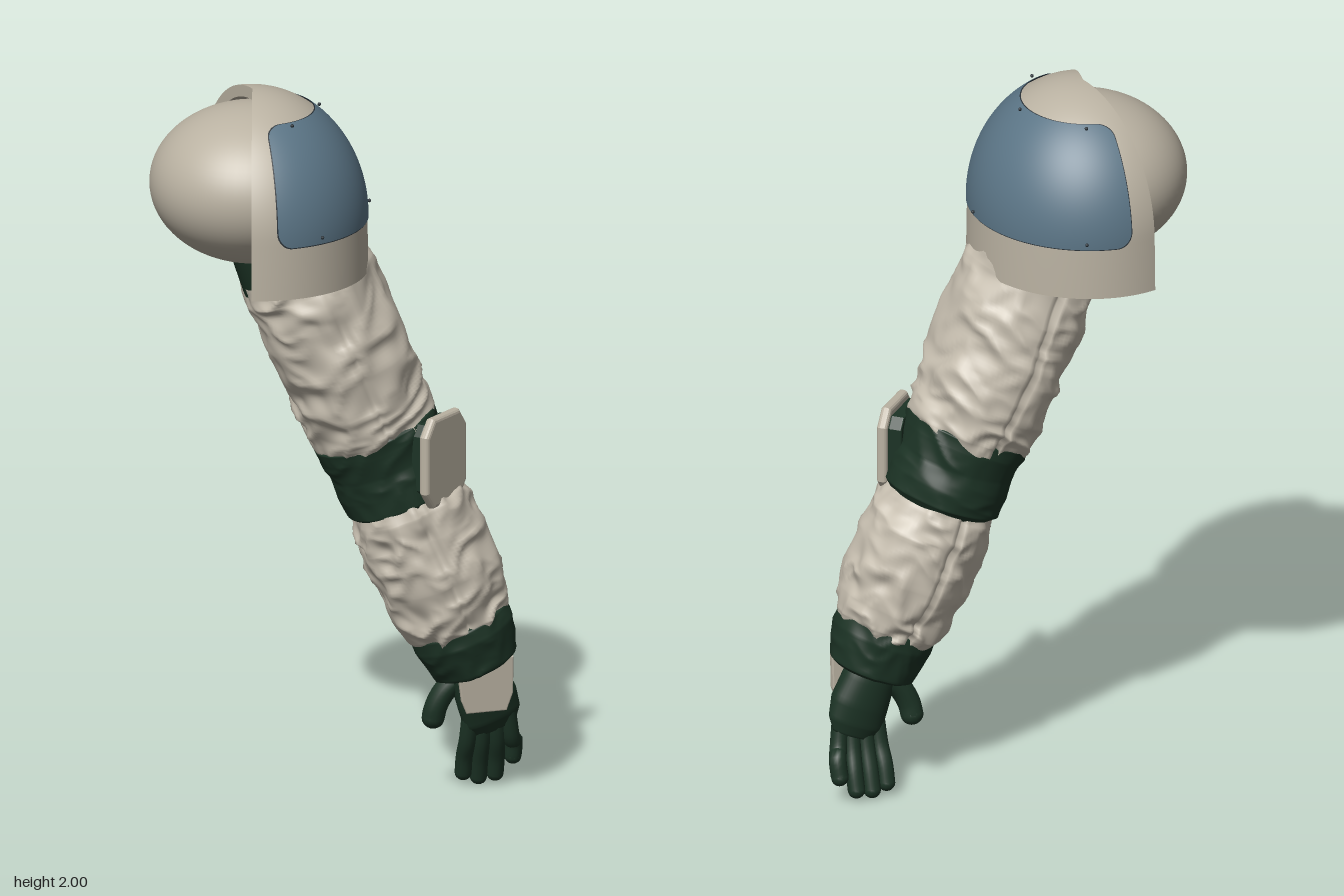
import * as THREE from 'three';

const mat = (name, color, side = THREE.FrontSide) => {
  const m = new THREE.MeshStandardMaterial({ color, side });
  m.name = name;
  return m;
};

// Smooth seeded value noise, used for cloth folds
const hash = (x, y, z) => {
  const s = Math.sin(x * 127.1 + y * 311.7 + z * 74.7) * 43758.5453;
  return s - Math.floor(s);
};
function noise(x, y, z) {
  const X = Math.floor(x), Y = Math.floor(y), Z = Math.floor(z);
  const f = [x - X, y - Y, z - Z].map(v => v * v * (3 - 2 * v));
  let sum = 0;
  for (let c = 0; c < 8; c++) {
    const b = [c & 1, (c >> 1) & 1, c >> 2];
    const w = b.reduce((p, on, k) => p * (on ? f[k] : 1 - f[k]), 1);
    sum += w * hash(X + b[0], Y + b[1], Z + b[2]);
  }
  return sum;
}
const ridge = (x, y, z) => 1 - 2 * Math.abs(2 * noise(x, y, z) - 1);

// Loft of elliptical rings down the arm; each row is [t, centreX, centreZ, radiusX, radiusZ]
function loft(rows, { cols = 96, steps = 12, fold = 0, seam = 0 } = {}) {
  const pos = [], idx = [], n = (rows.length - 1) * steps;
  for (let i = 0; i <= n; i++) {
    const k = Math.min(Math.floor(i / steps), rows.length - 2), u = i / steps - k;
    const [t, cx, cz, rx, rz] = rows[k].map((v, q) => v + (rows[k + 1][q] - v) * u);
    for (let j = 0; j < cols; j++) {
      const a = j / cols * Math.PI * 2, c = Math.cos(a), s = Math.sin(a);
      let d = 0;
      if (fold) {
        const w = noise(c * 2 + 9, t * 8, s * 2 + 5) * 1.6;
        d = fold * (ridge(c * 1.3 + 20, t * 15 + c * 1.2 + w, s * 1.3 + 7)
          + 0.55 * ridge(c * 3 + 3, t * 20 - s * 2 + w, s * 3 + 31) - 0.1);
      }
      // pressed seams on the front and back
      if (seam && (j === Math.round(cols * 0.235) || j === Math.round(cols * 0.735))) d -= seam;
      pos.push(cx + (rx + d) * c, -t, cz + (rz + d) * s);
      if (i < n) {
        const p = i * cols + j, q = i * cols + (j + 1) % cols;
        idx.push(p, q, p + cols, q, q + cols, p + cols);
      }
    }
  }
  const g = new THREE.BufferGeometry();
  g.setAttribute('position', new THREE.Float32BufferAttribute(pos, 3));
  g.setIndex(idx);
  g.computeVertexNormals();
  return g;
}

// Plate with cut corners and a soft bevel
function plate(points, depth, bevel) {
  return new THREE.ExtrudeGeometry(new THREE.Shape(points.map(p => new THREE.Vector2(...p))), {
    depth, bevelEnabled: true, bevelSize: bevel, bevelThickness: bevel, bevelSegments: 3,
  });
}

export function createModel() {
  const model = new THREE.Group();
  const armour = mat('armour beige', 0xbab2a2, THREE.DoubleSide);
  const cloth = mat('cloth beige', 0xc6beaf, THREE.DoubleSide);
  const green = mat('dark green', 0x1c3325, THREE.DoubleSide);
  const blue = mat('slate blue', 0x5b7586, THREE.DoubleSide);
  const dark = mat('seam dark', 0x2a3238, THREE.DoubleSide);
  const add = (parent, name, geo, material) => {
    const m = new THREE.Mesh(geo, material);
    m.name = name;
    parent.add(m);
    return m;
  };

  // Shoulder ball
  const ball = add(model, 'shoulderBall', new THREE.SphereGeometry(1, 64, 40), armour);
  ball.scale.set(0.28, 0.217, 0.28);
  ball.position.set(-0.235, 1.735, -0.015);

  // Shoulder guard: a sector of a domed shell
  const guard = new THREE.Group();
  guard.name = 'shoulderGuard';
  guard.position.x = -0.24;
  guard.scale.x = 0.925;
  model.add(guard);
  const start = -0.235, sweep = Math.PI + 0.47;
  const profile = (r, h) => {
    const pts = [new THREE.Vector2(r + 0.003, 1.5), new THREE.Vector2(r + 0.002, 1.58)];
    for (let i = 0; i <= 28; i++) {
      const a = i / 28 * Math.PI / 2;
      pts.push(new THREE.Vector2(r * Math.cos(a), 1.65 + h * Math.sin(a)));
    }
    return pts;
  };
  const outer = profile(0.334, 0.35), inner = profile(0.302, 0.318).reverse();
  const rim = [inner[inner.length - 1], outer[0]];
  for (const [name, pts] of [['guardOuter', outer], ['guardInner', inner], ['guardRim', rim]])
    add(guard, name, new THREE.LatheGeometry(pts, 80, start, sweep), armour);
  for (const phi of [start, start + sweep]) {
    const cap = new THREE.ShapeGeometry(new THREE.Shape([...outer, ...inner]));
    add(guard, 'guardEdge', cap.rotateY(phi - Math.PI / 2), armour);
  }

  // Painted panel on the guard with rounded corners, over a thin dark outline
  const panel = (grow, lift) => {
    const g = new THREE.PlaneGeometry(1, 1, 72, 48), p = g.attributes.position;
    const lo = -0.015 - grow * 3, hi = 1.0 + grow * 3, R = 0.045;
    for (let i = 0; i < p.count; i++) {
      const v = p.getY(i) + 0.5, a = lo + (hi - lo) * (v * v * (3 - 2 * v));
      const e = Math.min(a - lo, hi - a) * 0.34;
      const inset = e < R ? R - Math.sqrt(Math.max(0, R * R - (R - e) ** 2)) : 0;
      const r = 0.334 * Math.cos(a);
      const phi = Math.PI / 2 + p.getX(i) * 2 * (Math.PI / 2 - (inset - grow) / r);
      const q = r + lift * Math.cos(a);
      p.setXYZ(i, q * Math.sin(phi), 1.65 + 0.35 * Math.sin(a) + lift * Math.sin(a), q * Math.cos(phi));
    }
    g.computeVertexNormals();
    return g;
  };
  add(guard, 'panelOutline', panel(0.003, 0.002), dark);
  add(guard, 'bluePanel', panel(0, 0.004), blue);

  // Tiny rivets
  for (const [x, y, z] of [[0.083, 1.665, 0], [-0.115, 1.665, 0.322], [-0.115, 1.665, -0.322],
    [-0.055, 1.945, 0], [-0.17, 1.945, 0.188], [-0.17, 1.945, -0.188]])
    add(model, 'rivet', new THREE.SphereGeometry(0.005, 8, 6), dark).position.set(x, y, z);

  // Arm: local -y runs from the shoulder to the hand
  const arm = new THREE.Group();
  arm.name = 'arm';
  arm.position.set(-0.09, 1.48, 0);
  arm.rotation.z = 0.39;
  model.add(arm);

  add(arm, 'undersuit', loft([[-0.2, -0.02, 0, 0, 0], [-0.16, -0.02, 0, 0.15, 0.15],
    [0.02, -0.01, 0, 0.172, 0.175]], { steps: 4 }), green);
  add(arm, 'upperSleeve', loft([[-0.04, 0, 0, 0.168, 0.178], [0.02, 0, 0, 0.182, 0.192],
    [0.12, 0, 0, 0.18, 0.202], [0.28, 0, 0, 0.178, 0.205], [0.4, 0, 0, 0.172, 0.19],
    [0.48, 0, 0, 0.168, 0.175], [0.53, 0, 0, 0.15, 0.15]], { steps: 14, fold: 0.011, seam: 0.012 }), cloth);
  add(arm, 'elbowBand', loft([[0.47, 0, 0.003, 0.15, 0.15], [0.485, 0, 0.003, 0.172, 0.17],
    [0.52, 0, 0.003, 0.17, 0.168], [0.58, 0, 0.003, 0.161, 0.16], [0.64, 0, 0.003, 0.166, 0.162],
    [0.69, 0, 0.005, 0.162, 0.16], [0.71, 0, 0.005, 0.14, 0.14]], { fold: 0.004 }), green);
  add(arm, 'lowerSleeve', loft([[0.67, 0, 0.012, 0.135, 0.14], [0.72, 0, 0.015, 0.15, 0.158],
    [0.8, 0, 0.018, 0.166, 0.165], [0.93, 0.002, 0.022, 0.165, 0.164], [1.02, 0, 0.026, 0.155, 0.152],
    [1.08, 0, 0.03, 0.14, 0.135], [1.11, 0, 0.03, 0.12, 0.115]], { steps: 14, fold: 0.011, seam: 0.012 }), cloth);
  add(arm, 'wristCuff', loft([[1.07, 0, 0.032, 0.11, 0.105], [1.08, 0, 0.032, 0.139, 0.13],
    [1.12, 0, 0.032, 0.14, 0.131], [1.16, 0, 0.03, 0.132, 0.122], [1.215, -0.002, 0.028, 0.117, 0.112],
    [1.225, -0.002, 0.028, 0.1, 0.095], [1.2, -0.005, 0.03, 0.06, 0.05]], { steps: 8, fold: 0.003 }), green);
  add(arm, 'palm', loft([[1.17, -0.015, 0.035, 0.06, 0.05], [1.24, -0.012, 0.037, 0.076, 0.058],
    [1.32, -0.012, 0.035, 0.085, 0.055], [1.375, -0.018, 0.028, 0.082, 0.042],
    [1.41, -0.02, 0.022, 0.06, 0.024], [1.415, -0.02, 0.02, 0, 0]], { cols: 40, steps: 6 }), green);

  // Elbow pad, facing forward and outward, on a dark backing
  const pad = new THREE.Group();
  pad.name = 'elbowPad';
  pad.position.set(0.257, 0.965, 0.122);
  pad.rotation.y = 0.79;
  model.add(pad);
  const octagon = (w, h, c) => [[-w + c, -h], [w - c, -h], [w, -h + c * 1.3], [w, h - c * 1.3],
    [w - c, h], [-w + c, h], [-w, h - c * 1.3], [-w, -h + c * 1.3]];
  add(pad, 'padPlate', plate(octagon(0.088, 0.115, 0.03), 0.008, 0.011), armour);
  add(pad, 'padBacking', plate(octagon(0.082, 0.1, 0.02), 0.03, 0.005), green).position.z = -0.045;

  // Back-of-hand plate
  const handPlate = add(model, 'handPlate', plate([[0.305, 0.37], [0.455, 0.37], [0.456, 0.27],
    [0.44, 0.222], [0.335, 0.218], [0.322, 0.25]], 0.012, 0.004), armour);
  handPlate.position.set(0, 0.018, 0.06);
  handPlate.rotation.x = 0.08;

  // Fingers and thumb
  const digit = (name, r, points) => {
    const g = new THREE.Group();
    g.name = name;
    const pts = points.map(p => new THREE.Vector3(...p));
    add(g, name + 'Shaft', new THREE.TubeGeometry(new THREE.CatmullRomCurve3(pts), 14, r, 12), green);
    for (const p of [pts[0], pts[pts.length - 1]])
      add(g, name + 'End', new THREE.SphereGeometry(r, 12, 10), green).position.copy(p);
    model.add(g);
  };
  const fingers = [[0.355, 0.348, 0.042], [0.39, 0.39, 0.028], [0.425, 0.436, 0.035], [0.456, 0.485, 0.08]];
  fingers.forEach(([base, tip, y], i) => digit('finger' + (i + 1), 0.024, [[base, 0.22, 0.035],
    [base + (tip - base) * 0.6, 0.13, 0.012], [tip, y + 0.04, -0.012], [tip, y - 0.008, -0.027]]));
  digit('thumb', 0.032, [[0.335, 0.33, 0.03], [0.285, 0.28, 0.025], [0.262, 0.235, 0.02], [0.256, 0.205, 0.015]]);

  return model;
}
